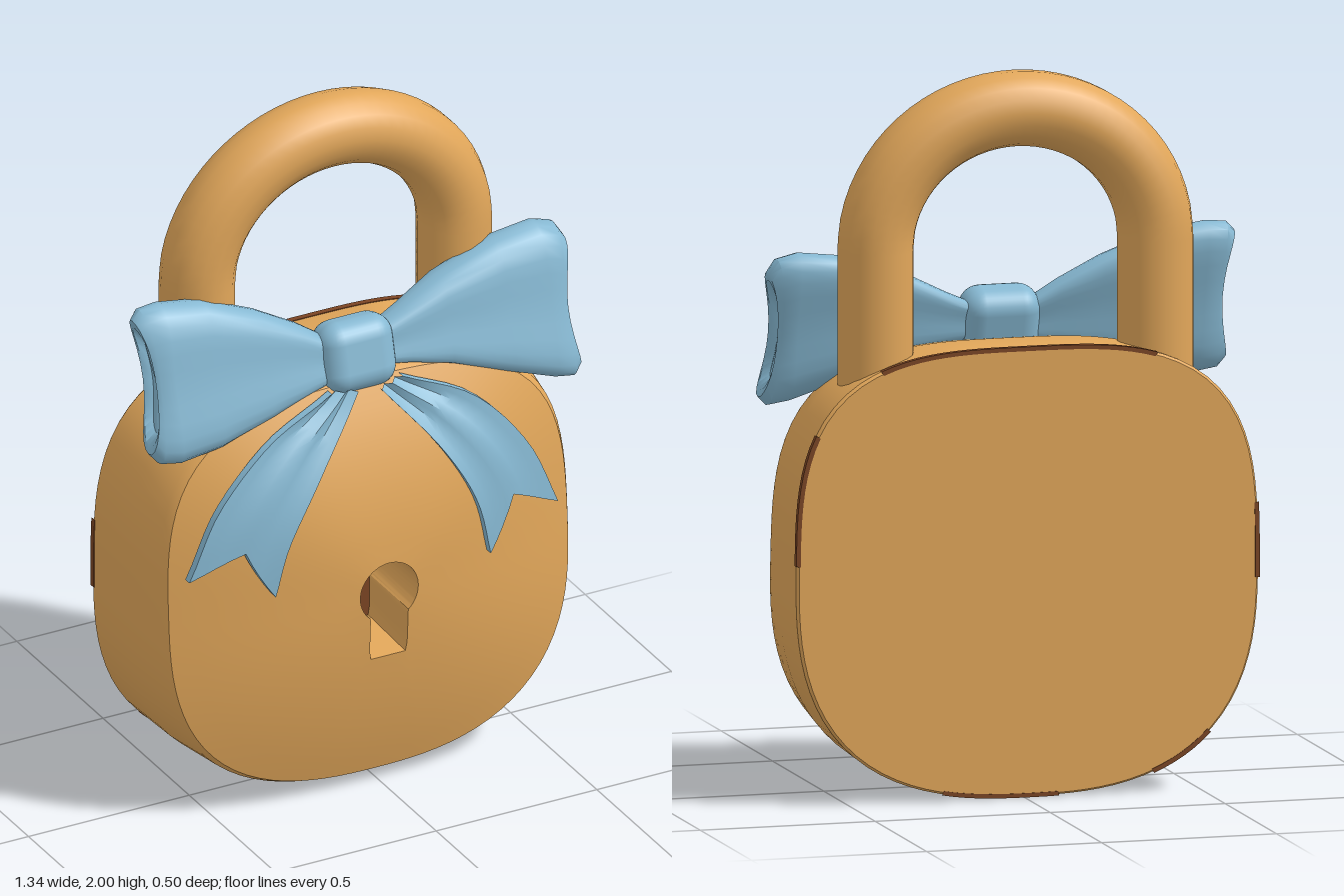
import * as THREE from 'three';
import { toCreasedNormals } from 'three/addons/utils/BufferGeometryUtils.js';
import { RoundedBoxGeometry } from 'three/addons/geometries/RoundedBoxGeometry.js';

const V = (x, y, z) => new THREE.Vector3(x, y, z);
const lerp = THREE.MathUtils.lerp;

// Skin closed rings of points, each counter-clockwise about the travel direction
function loft(rings, crease = 0.6) {
  const n = rings[0].length, pos = [], index = [];
  rings.forEach(r => r.forEach(p => pos.push(p.x, p.y, p.z)));
  for (let i = 0; i < rings.length - 1; i++) {
    for (let j = 0; j < n; j++) {
      const a = i * n + j, b = i * n + (j + 1) % n;
      index.push(a, b, b + n, a, b + n, a + n);
    }
  }
  const g = new THREE.BufferGeometry();
  g.setAttribute('position', new THREE.Float32BufferAttribute(pos, 3));
  g.setIndex(index);
  return toCreasedNormals(g, crease);
}

// Body outline, keyhole and domed face in polar form about one centre
const CX = -0.01, CY = 0.625, SEG = 96, FLOOR = 0.03;
const angles = Array.from({ length: SEG }, (_, i) => i / SEG * Math.PI * 2);
const outline = a => {
  const n = Math.sin(a) > 0 ? 3.2 : 2.65; // squarer shoulders, rounder bottom
  return Math.pow(Math.pow(Math.abs(Math.cos(a)) / 0.66, n) + Math.pow(Math.abs(Math.sin(a)) / 0.625, n), -1 / n);
};
const rim = a => outline(a) * 0.94;
const domeZ = (a, r) => {
  const edge = 0.125 - 0.04 * Math.sin(a), t = Math.min(1, r / rim(a));
  return edge + (0.25 - edge) * (1 - t * t);
};
const keyhole = a => {
  const s = Math.sin(a), c = Math.abs(Math.cos(a));
  if (s >= 0) return 0.09;
  return Math.max(0.09, Math.min(0.2 / -s, 0.058 / Math.max(c, 1e-4)));
};
const polar = (a, r, z) => V(CX + r * Math.cos(a), CY + r * Math.sin(a), z);
const polarRing = (radius, z) => angles.map(a => {
  const r = radius(a);
  return polar(a, r, typeof z === 'function' ? z(a, r) : z);
});
const floorRing = polarRing(a => keyhole(a) * 0.94, FLOOR);

function bodyGeometry() {
  const rings = [
    polarRing(() => 0, -0.25),
    polarRing(a => outline(a) * 0.99, -0.25),
    polarRing(outline, -0.24),
    polarRing(a => outline(a) * 0.99, -0.05),
    polarRing(a => outline(a) * 0.96, a => domeZ(a, 9) - 0.025),
  ];
  for (let k = 0; k <= 7; k++) rings.push(polarRing(a => lerp(rim(a), keyhole(a), k / 7), domeZ));
  rings.push(floorRing);
  return loft(rings);
}

// Thin worn strip along the back edge between two angles in degrees
function edgeGeometry(from, to) {
  const rings = [], steps = Math.ceil((to - from) / 3);
  for (let i = 0; i <= steps; i++) {
    const a = THREE.MathUtils.degToRad(lerp(from, to, i / steps)), r = outline(a);
    rings.push([[0.984, -0.252], [0.984, -0.234], [1.003, -0.234], [1.003, -0.252]]
      .map(([k, z]) => polar(a, r * k, z)));
  }
  return loft(rings);
}

// Shackle: an arch with two straight legs
function shackleGeometry() {
  const path = new THREE.CurvePath(), pts = [];
  for (let i = 0; i <= 16; i++) {
    const a = Math.PI * (1 - i / 16);
    pts.push(V(-0.012 + 0.4 * Math.cos(a), 1.52 + 0.375 * Math.sin(a), -0.12));
  }
  path.add(new THREE.LineCurve3(V(-0.412, 1.05, -0.12), pts[0]));
  path.add(new THREE.CatmullRomCurve3(pts));
  path.add(new THREE.LineCurve3(pts[16], V(0.388, 1.05, -0.12)));
  return new THREE.TubeGeometry(path, 60, 0.105, 18);
}

// Bow loop: stations are [x, top, bottom, half thickness]; d is the side
function loopGeometry(stations, d) {
  const N = 28;
  const ring = ([x, top, bottom, thick], scale = 1, dent = 0) =>
    Array.from({ length: N }, (_, j) => {
      const a = d * j / N * Math.PI * 2, c = Math.cos(a), s = Math.sin(a);
      const y = (top + bottom) / 2 + (top - bottom) / 2 * c * scale;
      const z = 0.03 - 0.25 * (y - 1.3) + thick * 1.3 * scale * s * (1.4 - 0.7 * s * s);
      return V(x - d * dent * (1 - c * c), y, z);
    });
  const n = stations.length, rings = stations.map((s, i) => ring(s, 1, 0.015 * Math.max(0, i - n + 3)));
  const [x, ...rest] = stations[n - 1];
  rings.push(ring([x - d * 0.005, ...rest], 0.88, 0.03));
  rings.push(ring([x - d * 0.035, ...rest], 0.75, 0.02));
  rings.push(ring([x - d * 0.05, ...rest], 0));
  return loft(rings, 0.8);
}

// Bow tail: a ribbon lying on the dome between two edge curves, notched at the end
function tailGeometry(outer, inner, d) {
  const curve = p => new THREE.CatmullRomCurve3(p.map(([x, y]) => V(x, y, 0)));
  const eo = curve(outer), ei = curve(inner), U = 8, S = 14, rings = [];
  for (let i = 0; i <= S; i++) {
    const front = [], back = [];
    for (let k = 0; k <= U; k++) {
      const u = k / U, s = i / S * (1 - 0.2 * (1 - Math.abs(2 * u - 1)));
      const p = eo.getPoint(s).lerp(ei.getPoint(s), u);
      const a = Math.atan2(p.y - CY, p.x - CX);
      p.z = domeZ(a, Math.hypot(p.x - CX, p.y - CY)) + 0.012 + 0.025 * s * (1 - u)
        + 0.009 * (1 - s) * Math.cos(u * Math.PI * 4);
      front.push(p.clone().setZ(p.z + 0.012));
      back.unshift(p.clone().setZ(p.z - 0.012));
    }
    const ring = [...front, ...back];
    rings.push(d > 0 ? ring : ring.reverse());
  }
  // close the end onto the ribbon's mid-surface
  const last = rings[S], m = last.length;
  rings.push(last.map((p, j) => p.clone().lerp(last[m - 1 - j], 0.5)));
  return loft(rings, 0.7);
}

export function createModel() {
  const material = (name, color) => {
    const m = new THREE.MeshStandardMaterial({ color });
    m.name = name;
    return m;
  };
  const gold = material('gold', 0xe2a75a);
  const blue = material('ribbonBlue', 0x87b9d3);
  const brown = material('keyholeBrown', 0x7a4423);

  const model = new THREE.Group();
  model.name = 'padlock';
  const add = (parent, name, geometry, mat) => {
    const mesh = new THREE.Mesh(geometry, mat);
    mesh.name = name;
    parent.add(mesh);
    return mesh;
  };

  add(model, 'body', bodyGeometry(), gold);
  add(model, 'keyholeFloor', loft([floorRing, polarRing(() => 0, FLOOR)]), brown);
  add(model, 'shackle', shackleGeometry(), gold);

  // brown patches along the back edge: top, both sides, bottom
  [[54, 122], [4, 34], [166, 184], [222, 238], [262, 292]].forEach(([from, to]) =>
    add(model, 'backEdge', edgeGeometry(from, to), brown));

  const bow = new THREE.Group();
  bow.name = 'bow';
  model.add(bow);

  const knot = add(bow, 'knot', new RoundedBoxGeometry(0.225, 0.205, 0.14, 4, 0.06), blue);
  knot.position.set(-0.01, 1.275, 0.04);
  knot.rotation.x = -0.25;

  add(bow, 'leftLoop', loopGeometry([
    [0.06, 1.33, 1.23, 0.035], [0.15, 1.37, 1.215, 0.045], [0.27, 1.43, 1.185, 0.058],
    [0.45, 1.49, 1.12, 0.065], [0.58, 1.505, 1.075, 0.064], [0.64, 1.49, 1.065, 0.06],
    [0.665, 1.45, 1.09, 0.05]], 1), blue);
  add(bow, 'rightLoop', loopGeometry([
    [-0.08, 1.33, 1.22, 0.035], [-0.17, 1.39, 1.195, 0.045], [-0.29, 1.455, 1.16, 0.055],
    [-0.45, 1.52, 1.115, 0.06], [-0.58, 1.54, 1.1, 0.06], [-0.64, 1.535, 1.11, 0.055],
    [-0.665, 1.51, 1.14, 0.045]], -1), blue);

  add(bow, 'leftTail', tailGeometry(
    [[0.1, 1.21], [0.3, 1.12], [0.45, 0.95], [0.545, 0.74]],
    [[0.03, 1.19], [0.18, 1.0], [0.27, 0.83], [0.31, 0.66]], 1), blue);
  add(bow, 'rightTail', tailGeometry(
    [[-0.12, 1.21], [-0.34, 1.12], [-0.5, 0.97], [-0.595, 0.77]],
    [[-0.04, 1.2], [-0.2, 1.01], [-0.31, 0.84], [-0.355, 0.69]], -1), blue);

  return model;
}
